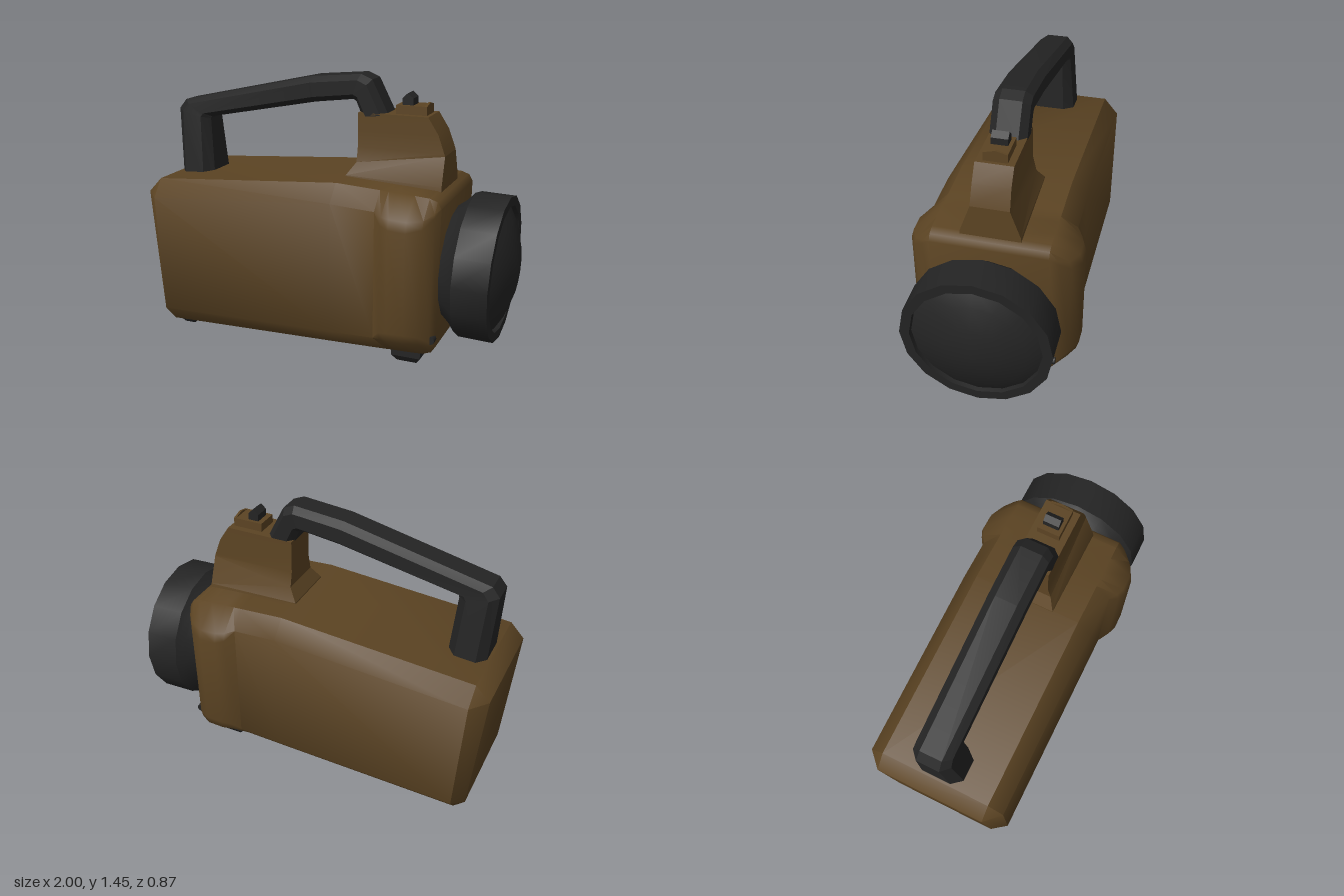
import * as THREE from 'three';
import { toCreasedNormals } from 'three/addons/utils/BufferGeometryUtils.js';

const brown = new THREE.MeshStandardMaterial({ color: 0x5c4423 });
brown.name = 'brown casing';
const black = new THREE.MeshStandardMaterial({ color: 0x242424 });
black.name = 'black rubber';

// Skins a row of equal-length convex rings, caps both ends, winds faces outward
function loft(rings, crease = 0.78) {
  const tris = [];
  const n = rings[0].length;
  for (let i = 0; i < rings.length - 1; i++) {
    for (let j = 0; j < n; j++) {
      const k = (j + 1) % n;
      const a = rings[i][j], b = rings[i][k], c = rings[i + 1][k], d = rings[i + 1][j];
      tris.push([a, b, c], [a, c, d]);
    }
  }
  const first = rings[0], last = rings[rings.length - 1];
  for (let j = 1; j < n - 1; j++) {
    tris.push([first[0], first[j + 1], first[j]], [last[0], last[j], last[j + 1]]);
  }
  const V = (p) => new THREE.Vector3(...p);
  const origin = V(first[0]);
  let volume = 0;
  for (const [a, b, c] of tris) {
    volume += V(a).sub(origin).dot(V(b).sub(origin).cross(V(c).sub(origin)));
  }
  if (volume < 0) tris.forEach((t) => t.reverse());
  const geometry = new THREE.BufferGeometry();
  geometry.setAttribute('position', new THREE.Float32BufferAttribute(tris.flat(2), 3));
  return toCreasedNormals(geometry, crease);
}

// Cross-section of the casing: chamfered rectangle, sheared along x
function bodyRing([xb, xt, yb, yt, w, c, inset = 0, step = 0]) {
  const zi = 0.295;
  const half = [[zi, yt], [w - inset, yt - c], [w, yt - c - step], [w, yb + c + step], [w - inset, yb + c], [zi, yb]];
  const ring = [...half, ...half.map(([z, y]) => [-z, y]).reverse()];
  return ring.map(([z, y]) => [xb + (xt - xb) * (y - yb) / (yt - yb), y, z]);
}

// Octagonal section of the handle between an outer and an inner point
function handleRing([xo, yo, xi, yi, w]) {
  const section = [[0, 0.6], [0, -0.6], [0.22, -1], [0.78, -1], [1, -0.6], [1, 0.6], [0.78, 1], [0.22, 1]];
  return section.map(([t, s]) => [xo + (xi - xo) * t, yo + (yi - yo) * t, s * w]);
}

// Four-sided section of the switch tower
const towerRing = ([xb, yb, xf, yf, w, wf = w]) => [[xb, yb, w], [xf, yf, wf], [xf, yf, -wf], [xb, yb, -w]];

// Foot: a slab with its lower edges tapered
function foot(x0, x1, top, w) {
  const ring = (y, inset, dz) => [
    [x0 + inset, y, w - dz], [x1 - inset, y, w - dz],
    [x1 - inset, y, -w + dz], [x0 + inset, y, -w + dz],
  ];
  return loft([ring(top, 0, 0), ring(0.035, 0, 0), ring(0, 0.025, 0.025)], 0.3);
}

export function createModel() {
  const model = new THREE.Group();
  const add = (name, geometry, material, x = 0, y = 0, z = 0) => {
    const mesh = new THREE.Mesh(geometry, material);
    mesh.name = name;
    mesh.position.set(x, y, z);
    model.add(mesh);
    return mesh;
  };

  // Casing with bulged cheeks behind the lamp head
  add('casing', loft([
    [-0.94, -1.0, 0.09, 0.77, 0.295, 0],
    [-0.88, -0.925, 0.035, 0.85, 0.375, 0.09],
    [0.11, 0.11, 0.065, 0.93, 0.375, 0.09],
    [0.345, 0.345, 0.073, 0.917, 0.375, 0.09],
    [0.39, 0.39, 0.075, 0.914, 0.415, 0.1, 0.012, 0.04],
    [0.435, 0.435, 0.077, 0.912, 0.435, 0.1, 0.015, 0.05],
    [0.525, 0.525, 0.08, 0.907, 0.435, 0.1, 0.015, 0.05],
    [0.585, 0.6, 0.083, 0.902, 0.395, 0.09, 0.012, 0.04],
    [0.63, 0.64, 0.1, 0.888, 0.34, 0.05, 0.005, 0.02],
    [0.65, 0.66, 0.13, 0.855, 0.295, 0],
  ].map(bodyRing)), brown);

  // Lamp head: sixteen-sided bezel, and a shallow domed lens set inside it
  const lathe = (points) => {
    const g = new THREE.LatheGeometry(points.map(([r, x]) => new THREE.Vector2(r, x)), 16);
    g.rotateZ(-Math.PI / 2 - 0.03);
    return toCreasedNormals(g, 0.5);
  };
  add('lampBezel', lathe([[0, -0.2], [0.3, -0.165], [0.34, -0.115], [0.38, -0.08], [0.38, 0.1], [0.33, 0.1], [0.325, 0.07]]), black, 0.82, 0.49);
  add('lens', lathe([[0.33, 0.075], [0.26, 0.115], [0.14, 0.155], [0, 0.178]]), black, 0.82, 0.49);

  // Carrying handle
  add('handle', loft([
    [-0.91, 0.83, -0.71, 0.83, 0.135],
    [-0.93, 1.2, -0.735, 1.155, 0.1],
    [-0.89, 1.25, -0.73, 1.165, 0.095],
    [-0.12, 1.42, -0.1, 1.288, 0.095],
    [0.15, 1.445, 0.11, 1.315, 0.095],
    [0.21, 1.42, 0.125, 1.305, 0.095],
    [0.3, 1.245, 0.155, 1.235, 0.095],
  ].map(handleRing), 0.3), black);

  // Switch tower with flared foot
  add('switchTower', loft([
    [0.1, 0.9, 0.615, 0.88, 0.155],
    [0.105, 0.935, 0.615, 0.92, 0.15],
    [0.15, 1.0, 0.613, 1.065, 0.115, 0.097],
    [0.15, 1.08, 0.608, 1.08, 0.097],
    [0.15, 1.17, 0.575, 1.17, 0.095],
    [0.15, 1.255, 0.52, 1.255, 0.095],
  ].map(towerRing), 0.3), brown);

  // Switch plate, its front ridge and the toggle
  add('switchPlate', new THREE.BoxGeometry(0.16, 0.06, 0.12), brown, 0.42, 1.27, 0);
  const pentagon = (w, y0, y1, y2, x) => [[x, y0, w], [x, y1, w], [x, y2, 0], [x, y1, -w], [x, y0, -w]];
  add('switchRidge', loft([pentagon(0.06, 1.25, 1.3, 1.315, 0.49), pentagon(0.06, 1.25, 1.3, 1.315, 0.502)], 0.3), brown);
  const toggle = [[0.368, 1.29], [0.368, 1.335], [0.395, 1.36], [0.425, 1.335], [0.425, 1.29]];
  add('toggle', loft([-0.042, 0.042].map((z) => toggle.map(([x, y]) => [x, y, z])), 0.3), black);

  // Feet
  add('frontFoot', foot(0.41, 0.565, 0.1, 0.27), black);
  add('backFoot', foot(-0.87, -0.76, 0.06, 0.27), black);

  // Screws at the lower front corners
  for (const side of [1, -1]) {
    const screw = add(side > 0 ? 'leftScrew' : 'rightScrew', new THREE.CylinderGeometry(0.022, 0.022, 0.04, 8), black, 0.635, 0.18, side * 0.315);
    screw.rotation.x = Math.PI / 2;
  }
  return model;
}
